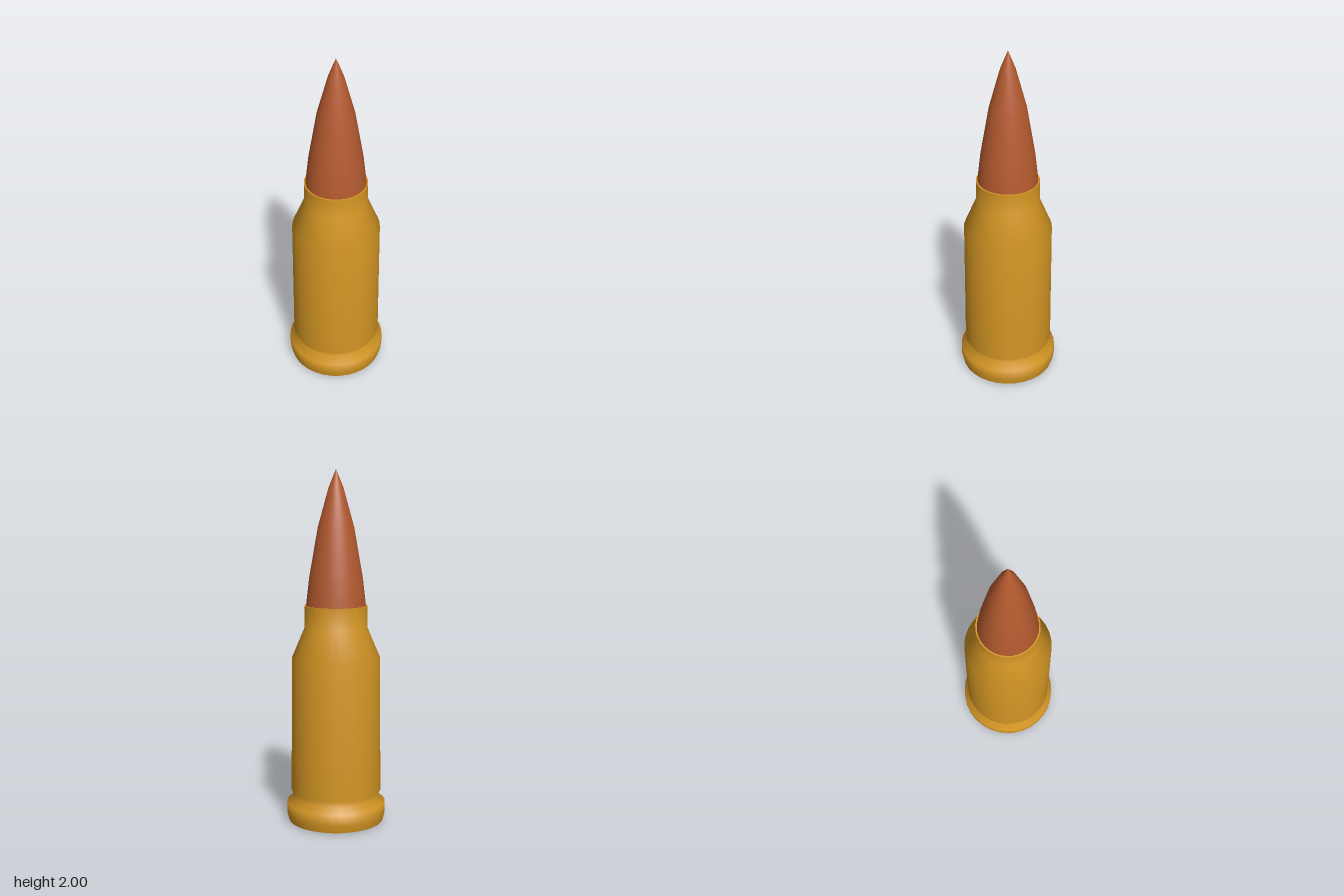
import * as THREE from 'three';

const SEGMENTS = 32;

function material(name, color) {
  const m = new THREE.MeshStandardMaterial({ color });
  m.name = name;
  return m;
}

// Smooth surface of revolution from [radius, height] pairs, bottom to top
function turned(name, profile, mat) {
  const points = profile.map(([r, y]) => new THREE.Vector2(r, y));
  const mesh = new THREE.Mesh(new THREE.LatheGeometry(points, SEGMENTS), mat);
  mesh.name = name;
  return mesh;
}

export function createModel() {
  const brass = material('brass', 0xd49624);
  const copper = material('copper', 0xb45a2f);
  const dark = material('dark primer', 0x1e1c20);

  const model = new THREE.Group();
  model.name = 'cartridge';

  model.add(
    // Flat underside
    turned('caseBase', [[0, 0.005], [0.272, 0.005]], brass),
    // Rim, extractor groove, tapered body, shoulder and neck
    turned('caseBody', [
      [0.272, 0.005], [0.283, 0.05], [0.283, 0.11], [0.235, 0.14], [0.257, 0.18],
      [0.25, 0.95], [0.178, 1.12], [0.178, 1.245],
    ], brass),
    // Flat lip around the neck opening
    turned('caseMouth', [[0.178, 1.245], [0.16, 1.245]], brass),
    // Pointed projectile seated in the neck
    turned('projectile', [
      [0.17, 1.2], [0.169, 1.245], [0.151, 1.4], [0.102, 1.68], [0.041, 1.9], [0, 2],
    ], copper),
  );

  // Primer disc in the centre of the base
  const primer = new THREE.Mesh(new THREE.CylinderGeometry(0.09, 0.09, 0.008, SEGMENTS), dark);
  primer.name = 'primer';
  primer.position.y = 0.004;
  model.add(primer);

  return model;
}
